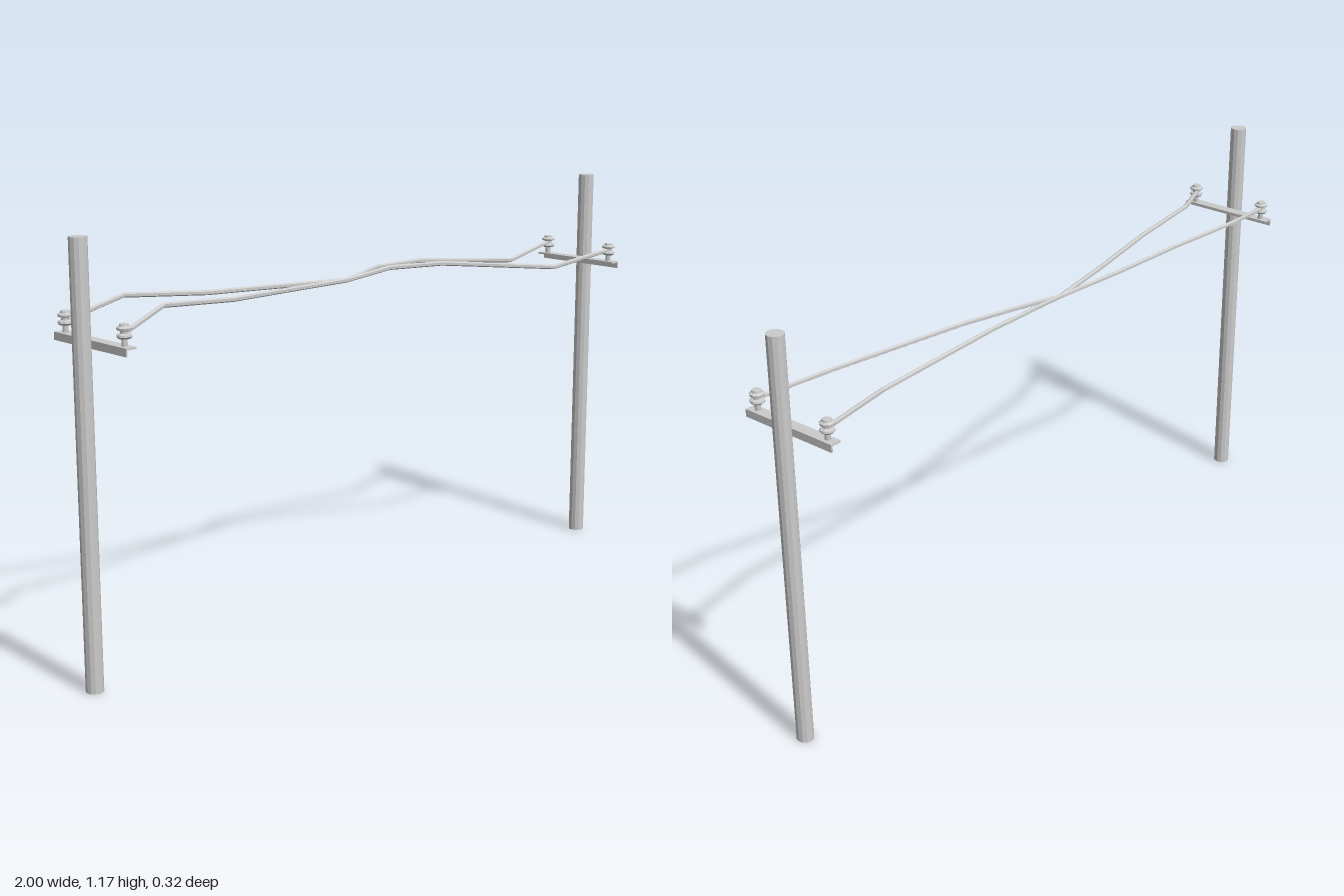
import * as THREE from 'three';

const material = new THREE.MeshStandardMaterial({ color: 0xcccccc, flatShading: true, side: THREE.DoubleSide });

function add(parent, name, geometry, x = 0, y = 0, z = 0) {
  const mesh = new THREE.Mesh(geometry, material);
  mesh.name = name;
  mesh.position.set(x, y, z);
  parent.add(mesh);
  return mesh;
}

// Polyline whose parameter lands exactly on every corner, so tube joints are mitred
class Polyline extends THREE.Curve {
  constructor(points) {
    super();
    this.points = points;
  }
  getPoint(t, target = new THREE.Vector3()) {
    const n = this.points.length - 1;
    const i = Math.min(Math.floor(t * n + 1e-9), n - 1);
    return target.lerpVectors(this.points[i], this.points[i + 1], t * n - i);
  }
  getPointAt(u, target) {
    return this.getPoint(u, target);
  }
  getTangentAt(u, target = new THREE.Vector3()) {
    const n = this.points.length - 1;
    const i = Math.round(u * n);
    const dir = (k) => this.points[k + 1].clone().sub(this.points[k]).normalize();
    return target.copy(dir(Math.max(i - 1, 0))).add(dir(Math.min(i, n - 1))).normalize();
  }
}

// Pin with two sheds and a groove between them for the wire
const insulatorProfile = [
  [0, 0], [0.008, 0], [0.008, 0.018], [0.015, 0.019], [0.02, 0.024], [0.019, 0.029],
  [0.011, 0.032], [0.011, 0.038], [0.019, 0.041], [0.02, 0.046], [0.013, 0.05],
  [0.012, 0.055], [0, 0.056],
].map(([r, y]) => new THREE.Vector2(r, y));

// L-shaped steel section: top flange and a hanging flange on the pole side
function angleIron(length) {
  const t = 0.005;
  const shape = new THREE.Shape([
    [0, 0], [t, 0], [t, 0.021 - t], [0.032, 0.021 - t], [0.032, 0.021], [0, 0.021],
  ].map(([x, y]) => new THREE.Vector2(x, y)));
  return new THREE.ExtrudeGeometry(shape, { depth: length, bevelEnabled: false })
    .translate(0, 0, -length / 2);
}

const INSULATOR_Z = [0.133, -0.109];

// Pole with its crossarm and two insulators; side is -1 or +1 along x
function pole(name, side, poleZ) {
  const group = new THREE.Group();
  group.name = name;
  add(group, 'pole', new THREE.CylinderGeometry(0.0235, 0.0235, 1.167, 12), side * 0.9765, 0.5835, poleZ);
  const arm = add(group, 'crossarm', angleIron(0.296), side * 0.954, 0.889, 0.012);
  if (side > 0) arm.rotation.y = Math.PI;
  for (const z of INSULATOR_Z) {
    add(group, 'insulator', new THREE.LatheGeometry(insulatorProfile, 10), side * 0.937, 0.91, z);
  }
  return group;
}

// Wire along [x, y, z] points, with closed ends inside the insulators
function wire(points) {
  const path = new Polyline(points.map((p) => new THREE.Vector3(...p)));
  return new THREE.TubeGeometry(path, points.length - 1, 0.007, 6, false);
}

export function createModel() {
  const model = new THREE.Group();
  model.name = 'utilityPoles';
  model.add(pole('rightPole', -1, 0.013), pole('leftPole', 1, 0.006));

  // Two slack wires that cross near the middle
  add(model, 'wireBackToFront', wire([
    [-0.94, 0.94, -0.107], [-0.725, 0.972, -0.151], [-0.485, 0.955, -0.103],
    [-0.25, 0.947, -0.08], [-0.02, 0.94, -0.05], [0.14, 0.959, -0.038],
    [0.31, 0.958, 0.009], [0.67, 0.921, 0.135], [0.94, 0.944, 0.131],
  ]));
  add(model, 'wireFrontToBack', wire([
    [-0.94, 0.94, 0.133], [-0.74, 0.972, 0.037], [-0.5, 0.955, 0.023],
    [-0.255, 0.947, -0.017], [-0.02, 0.94, -0.05], [0.125, 0.959, -0.075],
    [0.3, 0.958, -0.073], [0.68, 0.921, -0.044], [0.94, 0.944, -0.113],
  ]));
  return model;
}
